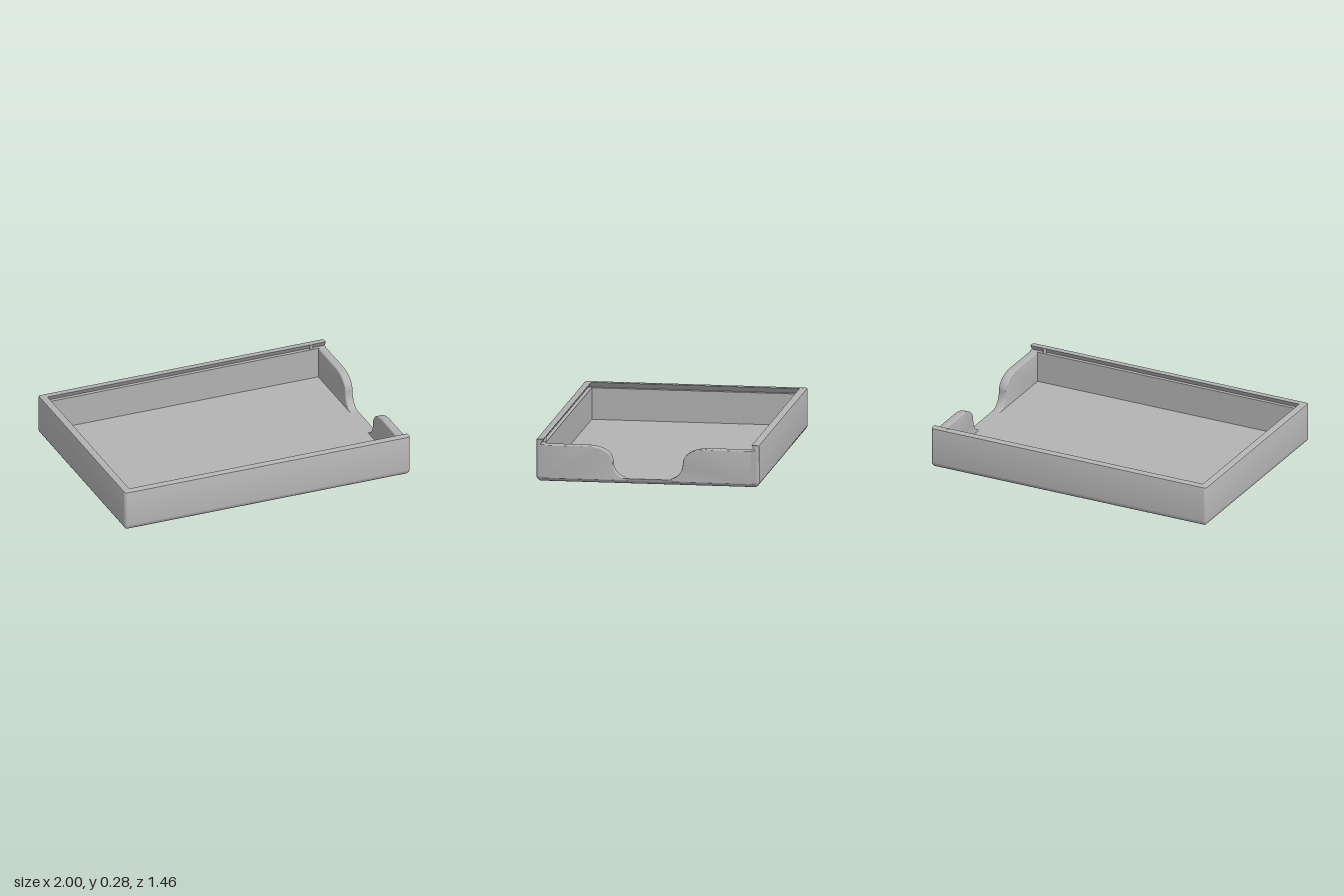
import * as THREE from 'three';
import { toCreasedNormals } from 'three/addons/utils/BufferGeometryUtils.js';

const HX = 1, HZ = 0.73;      // half length and half width
const R = 0.02;               // vertical corner radius
const FLOOR = 0.037, LEDGE = 0.245, TOP = 0.28, WALL = 0.055;
const STEPS = 6;

// Path stations: each maps an inset d to a point [x, z] on the inset rectangle.
function corner(quadrant) {
  const sx = [1, -1, -1, 1][quadrant], sz = [1, 1, -1, -1][quadrant];
  return Array.from({ length: STEPS + 1 }, (_, i) => {
    const t = (quadrant + i / STEPS) * Math.PI / 2;
    return d => {
      const m = Math.max(R, d), r = Math.max(R - d, 0);
      return [sx * (HX - m) + r * Math.cos(t), sz * (HZ - m) + r * Math.sin(t)];
    };
  });
}

// Rounded open end of a side wall, from its tip inwards.
function wallEnd(side) {
  return Array.from({ length: STEPS + 1 }, (_, i) => {
    const a = (1 - i / STEPS) * Math.PI / 2;
    return d => [HX - R + R * Math.sin(a), side * (HZ - Math.max(d, R * (1 - Math.cos(a))))];
  });
}

// Sweeps a closed profile of [inset, y] along the stations.
function sweep(stations, profile, loop) {
  const pos = [], idx = [], n = profile.length, m = stations.length;
  for (const s of stations) for (const [d, y] of profile) {
    const [x, z] = s(d);
    pos.push(x, y, z);
  }
  for (let j = 0; j < (loop ? m : m - 1); j++) for (let k = 0; k < n; k++) {
    const j2 = (j + 1) % m, k2 = (k + 1) % n;
    const a = j * n + k, b = j * n + k2, c = j2 * n + k2, e = j2 * n + k;
    idx.push(a, b, c, a, c, e);
  }
  if (!loop) { // end caps
    const pts = profile.map(p => new THREE.Vector2(p[0], p[1]));
    for (const [a, b, c] of THREE.ShapeUtils.triangulateShape(pts, [])) {
      const ccw = THREE.ShapeUtils.area([pts[a], pts[b], pts[c]]) > 0;
      const [p, q] = ccw ? [b, c] : [c, b], last = (m - 1) * n;
      idx.push(a, p, q, last + a, last + q, last + p);
    }
  }
  const g = new THREE.BufferGeometry();
  g.setAttribute('position', new THREE.Float32BufferAttribute(pos, 3));
  g.setIndex(idx);
  return toCreasedNormals(g, 0.6);
}

export function createModel() {
  const group = new THREE.Group();
  const grey = new THREE.MeshStandardMaterial({ color: 0xb3b3b3 });
  grey.name = 'grey plastic';
  const add = (name, geometry) => {
    const mesh = new THREE.Mesh(geometry, grey);
    mesh.name = name;
    group.add(mesh);
    return mesh;
  };

  // Floor slab with rounded lower edges
  const base = [[HZ, 0]];
  for (let i = 0; i <= 8; i++) {
    const a = i / 8 * Math.PI / 2;
    base.push([0.045 * (1 - Math.sin(a)), FLOOR * (1 - Math.cos(a))]);
  }
  base.push([HZ, FLOOR]);
  add('floor', sweep([0, 1, 2, 3].flatMap(corner), base, true));

  // Three full-height walls with an undercut groove for a sliding lid
  const wall = [
    [0, FLOOR], [0, TOP - 0.01], [0.003, TOP - 0.003], [0.01, TOP],
    [0.049, TOP], [0.028, LEDGE], [WALL - 0.002, LEDGE], [WALL - 0.002, FLOOR],
  ];
  const path = [...wallEnd(1), ...corner(1), ...corner(2), ...wallEnd(-1).reverse()];
  add('grooved walls', sweep(path, wall, false));

  // Low end wall in two halves, leaving a curved finger notch
  const bevel = 0.008, low = 0.02;
  for (const side of [1, -1]) {
    const s = new THREE.Shape();
    s.moveTo(side * 0.69, low);
    s.lineTo(side * 0.69, LEDGE);
    s.lineTo(side * 0.40, LEDGE);
    s.bezierCurveTo(side * 0.29, LEDGE, side * 0.23, 0.20, side * 0.23, 0.145);
    s.bezierCurveTo(side * 0.23, 0.085, side * 0.185, FLOOR, side * 0.13, FLOOR);
    s.lineTo(side * 0.13, low);
    s.closePath();
    const g = new THREE.ExtrudeGeometry(s, {
      depth: WALL - 2 * bevel, curveSegments: 16, bevelEnabled: true,
      bevelSize: bevel, bevelThickness: bevel, bevelOffset: -bevel, bevelSegments: 3,
    });
    g.rotateY(Math.PI / 2).translate(HX - WALL + bevel, 0, 0);
    add(side > 0 ? 'rightNotchWall' : 'leftNotchWall', toCreasedNormals(g, 0.6));
  }

  // Small catches for the lid near the open end of the grooves
  for (const side of [1, -1]) {
    const h = TOP - LEDGE;
    add('lidCatch', new THREE.CylinderGeometry(0.011, 0.011, h, 16))
      .position.set(0.9, LEDGE + h / 2 + 0.0005, side * 0.688);
  }
  return group;
}
